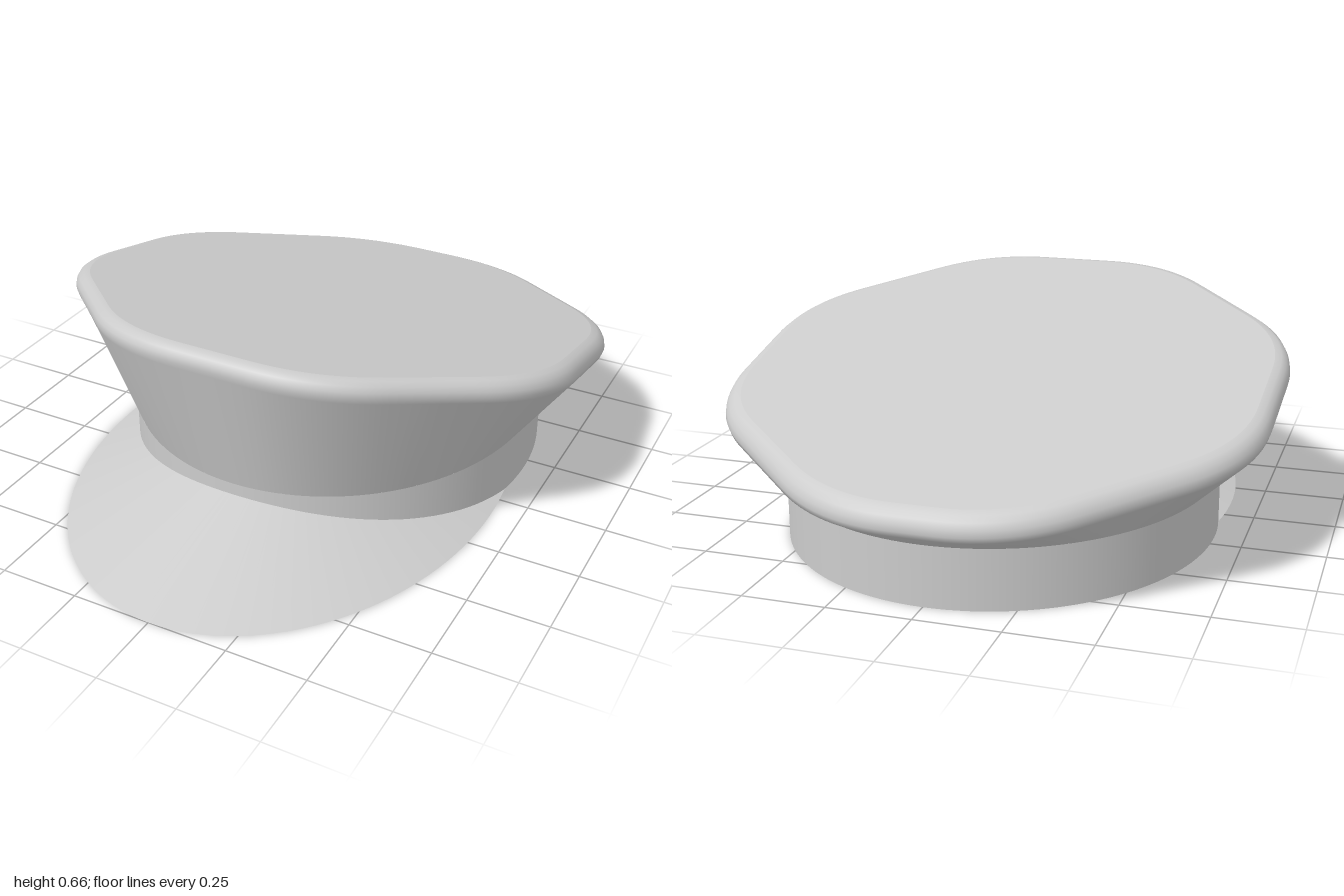
import * as THREE from 'three';

const RX = 0.66, RZ = 0.725, CZ = -0.195, BAND_H = 0.18; // band ellipse
const topY = z => 0.527 + 0.229 * z; // tilted plane of the crown top

// Octagonal plan of the crown with rounded corners, as points (x, z)
function crownOutline(count) {
  const half = [[0.33, 0.64], [0.845, 0.14], [0.83, -0.53], [0.27, -1.005]];
  const corners = [...half, ...half.map(([x, z]) => [-x, z]).reverse()].map(p => new THREE.Vector2(...p));
  const shape = new THREE.Shape().moveTo(0, 0.64);
  corners.forEach((c, i) => {
    const cut = other => {
      const d = other.clone().sub(c);
      return c.clone().addScaledVector(d, Math.min(0.21 / d.length(), 0.45));
    };
    const a = cut(corners[(i + 7) % 8]), b = cut(corners[(i + 1) % 8]);
    shape.lineTo(a.x, a.y).quadraticCurveTo(c.x, c.y, b.x, b.y);
  });
  shape.lineTo(0, 0.64);
  return shape.getSpacedPoints(count).slice(0, count);
}

function makeGeometry(positions, indices) {
  const g = new THREE.BufferGeometry();
  g.setAttribute('position', new THREE.Float32BufferAttribute(positions, 3));
  g.setIndex(indices);
  g.computeVertexNormals();
  return g;
}

export function createModel() {
  const group = new THREE.Group();
  const grey = new THREE.MeshStandardMaterial({ color: 0xcccccc });
  grey.name = 'light grey';
  const add = (name, geometry) => {
    const mesh = new THREE.Mesh(geometry, grey);
    mesh.name = name;
    group.add(mesh);
  };

  // Upright oval headband
  add('band', new THREE.CylinderGeometry(1, 1, BAND_H, 128)
    .scale(RX, 1, RZ).translate(0, BAND_H / 2, CZ));

  // Visor: sloping oval cone, its rear buried in the band
  add('visor', new THREE.CylinderGeometry(0.4, 1, 0.161, 128)
    .scale(RX, 1, 0.9).translate(0, 0.0805, 0.1));

  // Crown: flares from the oval band to the octagonal rim
  const N = 160, midZ = -0.18;
  const outline = crownOutline(N);
  const rimProfile = [[0.006, 0.07], [0, 0.052], [0.003, 0.034], [0.012, 0.017], [0.027, 0.005], [0.046, 0]]; // inset, depth
  const rings = [outline.map(p => {
    const a = Math.atan2(p.x / RX, (p.y - CZ) / RZ);
    return [RX * Math.sin(a), BAND_H, CZ + RZ * Math.cos(a)];
  })];
  for (const [inset, depth] of rimProfile) {
    const s = 1 - inset / 0.83;
    rings.push(outline.map(p => {
      const z = midZ + (p.y - midZ) * s;
      return [p.x * s, topY(z) - depth, z];
    }));
  }
  const sides = [];
  for (let r = 0; r < rings.length - 1; r++) {
    for (let i = 0; i < N; i++) {
      const j = (i + 1) % N, a = r * N, b = a + N;
      sides.push(a + i, a + j, b + i, a + j, b + j, b + i);
    }
  }
  add('crownSides', makeGeometry(rings.flat(2), sides));

  // Flat tilted crown top
  const fan = [];
  for (let i = 0; i < N; i++) fan.push(N, i, (i + 1) % N);
  add('crownTop', makeGeometry([...rings[rings.length - 1].flat(), 0, topY(midZ), midZ], fan));

  return group;
}
